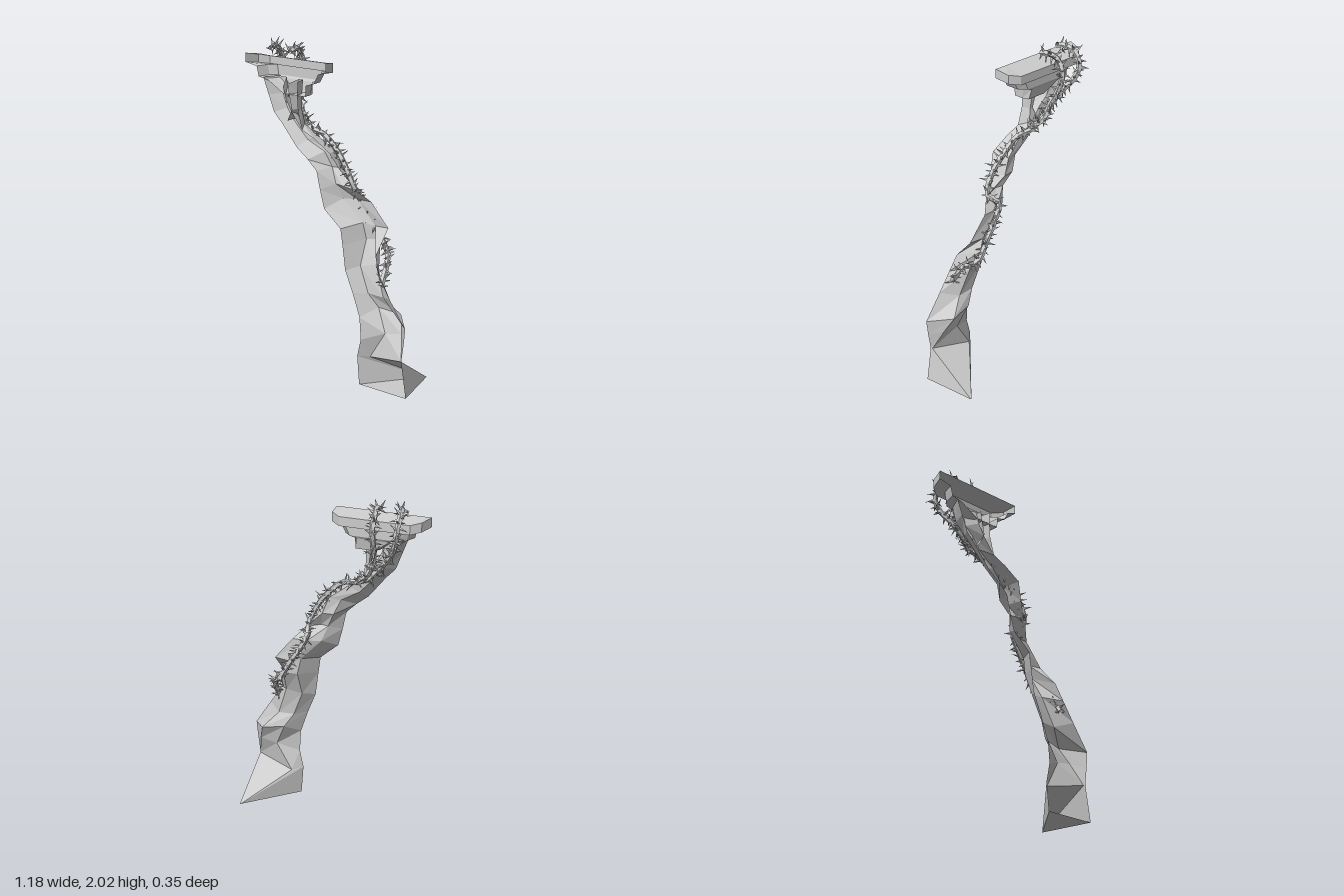
import * as THREE from 'three';
import { mergeGeometries } from 'three/addons/utils/BufferGeometryUtils.js';

const FRONT = 0.155; // plane of the open wall side

const stone = new THREE.MeshStandardMaterial({ color: 0xcccccc, flatShading: true, side: THREE.DoubleSide });

// Skin a list of cross-sections (each a list of [x, y, z]) from bottom to top.
function loft(name, rows) {
  const n = rows[0].length, index = [];
  for (let r = 0; r < rows.length - 1; r++) {
    for (let i = 0; i < n - 1; i++) {
      const a = r * n + i, b = a + 1, c = a + n, d = c + 1;
      index.push(a, c, b, b, c, d);
    }
  }
  const geo = new THREE.BufferGeometry();
  geo.setAttribute('position', new THREE.Float32BufferAttribute(rows.flat(2), 3));
  geo.setIndex(index);
  const flat = geo.toNonIndexed();
  flat.computeVertexNormals();
  const mesh = new THREE.Mesh(flat, stone);
  mesh.name = name;
  return mesh;
}

// Shell section: left edge (x, y), two back points (x, y, z), right edge (x, y and, where it leaves the wall, z).
const section = ([lx, ly, ax, ay, az, bx, by, bz, rx, ry, rz = FRONT]) =>
  [[lx, ly, FRONT], [ax, ay, az], [bx, by, bz], [rx, ry, rz]];

const fork = [-0.32, 1.52, -0.29, 1.54, 0.09, -0.23, 1.54, 0.09, -0.17, 1.50];

const trunkRows = [
  [0.25, 0, 0.25, 0, FRONT, 0.585, 0, FRONT, 0.585, 0], // closes the floor
  [0.25, 0, 0.51, 0, -0.175, 0.515, 0, -0.175, 0.585, 0],
  [0.235, 0.18, 0.29, 0.17, 0.10, 0.545, 0.22, 0.145, 0.55, 0.22],
  [0.26, 0.29, 0.39, 0.34, 0.09, 0.50, 0.36, 0.08, 0.565, 0.33],
  [0.25, 0.43, 0.32, 0.48, 0.06, 0.46, 0.46, 0.03, 0.575, 0.43],
  [0.20, 0.57, 0.265, 0.565, 0.09, 0.37, 0.56, 0.085, 0.465, 0.59],
  [0.145, 0.70, 0.20, 0.72, 0.08, 0.30, 0.74, 0.06, 0.385, 0.71],
  [0.125, 0.85, 0.20, 0.87, 0.02, 0.28, 0.88, -0.01, 0.345, 0.82, 0.13],
  [0.11, 0.95, 0.18, 0.97, 0.03, 0.25, 0.955, 0.0, 0.345, 0.96, 0.005],
  [-0.01, 1.05, 0.05, 1.10, 0.05, 0.13, 1.10, 0.015, 0.225, 1.10, 0.01],
  [-0.04, 1.16, 0.02, 1.19, 0.08, 0.07, 1.19, 0.09, 0.16, 1.17, 0.07],
  [-0.065, 1.27, -0.03, 1.28, 0.05, 0.04, 1.28, 0.04, 0.08, 1.29, 0.12],
  [-0.13, 1.33, -0.07, 1.37, 0.07, 0.00, 1.38, 0.05, 0.03, 1.39],
  [-0.21, 1.39, -0.18, 1.43, 0.09, -0.11, 1.46, 0.08, -0.08, 1.46],
  fork,
];

const outerProngRows = [
  fork,
  [-0.38, 1.58, -0.34, 1.60, 0.08, -0.28, 1.61, 0.09, -0.25, 1.60],
  [-0.42, 1.68, -0.39, 1.68, 0.06, -0.33, 1.67, 0.08, -0.29, 1.67],
  [-0.46, 1.78, -0.42, 1.78, 0.06, -0.35, 1.78, 0.07, -0.31, 1.74],
];

const innerProngRows = [
  [-0.28, 1.54, -0.26, 1.55, 0.09, -0.20, 1.53, 0.09, -0.17, 1.50],
  [-0.245, 1.61, -0.235, 1.61, 0.10, -0.215, 1.61, 0.10, -0.20, 1.61],
  [-0.265, 1.70, -0.25, 1.70, 0.09, -0.22, 1.70, 0.09, -0.205, 1.70],
  [-0.275, 1.76, -0.25, 1.78, 0.08, -0.22, 1.78, 0.08, -0.20, 1.78],
];

// Capital tier: half plan with chamfered back corners; back can sit lower than the sides.
function tier(x0, x1, y, z, yBack = y) {
  const c = (x1 - x0) * 0.13, zm = z + 0.04;
  return [[x0, y, FRONT], [x0 + c * 0.3, (y + yBack) / 2, zm], [x0 + c, yBack, z],
    [(x0 + x1) / 2, yBack, z], [x1 - c, yBack, z], [x1 - c * 0.2, (y + yBack) / 2, zm], [x1, y, FRONT]];
}
const toFront = (row) => row.map(([x]) => [x, row[0][1], FRONT]);

function buildCapital() {
  const top = tier(-0.595, 0.003, 1.91, 0.025, 1.885);
  const foot = tier(-0.31, -0.145, 1.70, 0.06);
  return loft('capital', [
    toFront(foot), foot,
    tier(-0.42, -0.14, 1.765, 0.045),
    tier(-0.495, -0.085, 1.78, 0.035),
    tier(-0.51, -0.05, 1.84, 0.035),
    tier(-0.595, 0.003, 1.855, 0.025, 1.83),
    top, toFront(top),
  ]);
}

// Small seeded random generator.
let seed = 7;
const rand = () => (seed = (seed * 16807) % 2147483647) / 2147483647;

// Thorny vine: tube along a curve with long thin spikes all round.
function vine(name, pts) {
  const group = new THREE.Group();
  group.name = name;
  const curve = new THREE.CatmullRomCurve3(pts.map((p) => new THREE.Vector3(...p)));
  const length = curve.getLength();
  const tube = new THREE.Mesh(new THREE.TubeGeometry(curve, Math.round(length / 0.04), 0.017, 5), stone);
  tube.name = name + 'Stem';
  const up = new THREE.Vector3(0, 1, 0), spikes = [];
  const count = Math.round(length / 0.011);
  for (let i = 0; i <= count; i++) {
    const t = i / count;
    const along = curve.getTangentAt(t);
    const side = new THREE.Vector3(0.31, 0.2, 0.93).cross(along).normalize();
    side.applyAxisAngle(along, i * 2.4 + rand());
    const dir = side.clone().addScaledVector(along, rand() * 1.6 - 0.8).normalize();
    const h = 0.035 + rand() * 0.025;
    const spike = new THREE.ConeGeometry(0.009, h, 4);
    spike.translate(0, h / 2, 0);
    spike.applyQuaternion(new THREE.Quaternion().setFromUnitVectors(up, dir));
    const p = curve.getPointAt(t).addScaledVector(side, 0.01);
    spike.translate(p.x, p.y, p.z);
    spikes.push(spike);
  }
  const thorns = new THREE.Mesh(mergeGeometries(spikes), stone);
  thorns.name = name + 'Thorns';
  group.add(tube, thorns);
  return group;
}

export function createModel() {
  const model = new THREE.Group();
  model.name = 'thornyPillar';
  model.add(
    loft('trunk', trunkRows.map(section)),
    loft('outerProng', outerProngRows.map(section)),
    loft('innerProng', innerProngRows.map(section)),
    buildCapital(),
    // Two strands hooked over the capital
    vine('outerStrand', [[-0.43, 1.95, 0.11], [-0.45, 1.955, 0.06], [-0.47, 1.935, 0.0], [-0.47, 1.86, -0.045],
      [-0.45, 1.77, -0.02], [-0.40, 1.69, 0.03], [-0.33, 1.61, 0.05], [-0.26, 1.53, 0.04]]),
    vine('innerStrand', [[-0.30, 1.94, 0.10], [-0.30, 1.955, 0.05], [-0.32, 1.935, -0.01], [-0.325, 1.86, -0.055],
      [-0.32, 1.75, -0.03], [-0.30, 1.64, 0.02], [-0.25, 1.55, 0.03], [-0.18, 1.51, 0.07]]),
    // Long strand winding down the trunk
    vine('trunkStrand', [[-0.30, 1.58, 0.05], [-0.19, 1.50, 0.06], [-0.08, 1.48, 0.075], [0.0, 1.42, 0.075],
      [0.08, 1.33, 0.085], [0.13, 1.24, 0.085], [0.15, 1.18, 0.07], [0.12, 1.14, 0.0], [0.16, 1.06, -0.01],
      [0.24, 0.94, -0.02], [0.31, 0.83, -0.02], [0.36, 0.80, 0.03], [0.38, 0.73, 0.08], [0.385, 0.65, 0.13]]),
  );
  return model;
}
